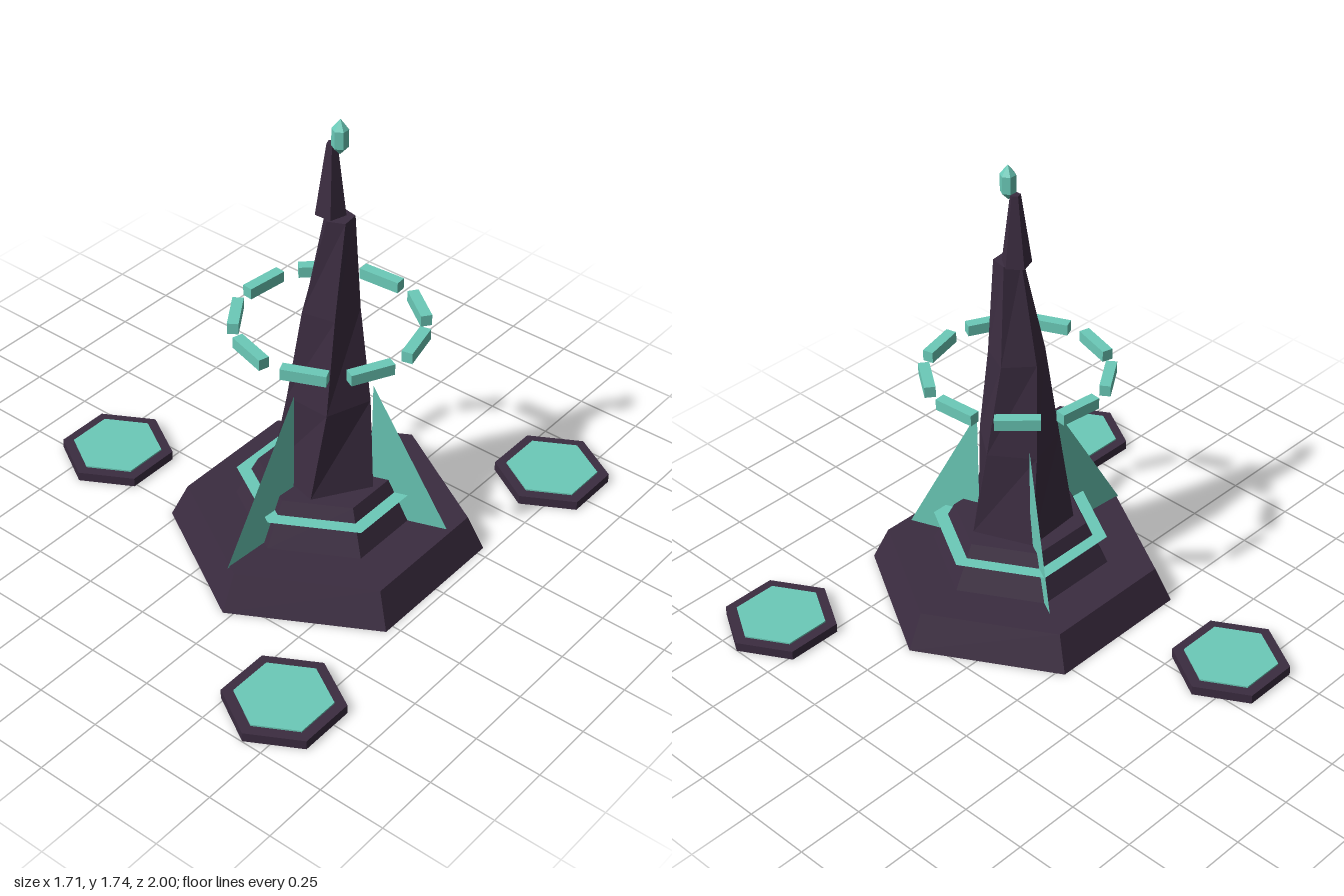
import * as THREE from 'three';

const stone = new THREE.MeshStandardMaterial({ color: 0x3b2c40 });
stone.name = 'darkStone';
const glow = new THREE.MeshStandardMaterial({ color: 0x6bcab8 });
glow.name = 'tealGlow';
const glowSheet = new THREE.MeshStandardMaterial({ color: 0x6bcab8, side: THREE.DoubleSide });
glowSheet.name = 'tealGlowSheet';

const CX = 0.218; // tower axis
const rad = THREE.MathUtils.degToRad;

function add(parent, name, geometry, material, x = 0, y = 0, z = 0) {
  const flat = geometry.index ? geometry.toNonIndexed() : geometry;
  flat.computeVertexNormals();
  const mesh = new THREE.Mesh(flat, material);
  mesh.name = name;
  mesh.position.set(x, y, z);
  parent.add(mesh);
  return mesh;
}

// Hexagonal frustum standing on y0, corners toward +z and -z
function hex(parent, name, material, rTop, rBottom, y0, y1, x, z = 0) {
  const g = new THREE.CylinderGeometry(rTop, rBottom, y1 - y0, 6);
  return add(parent, name, g, material, x, (y0 + y1) / 2, z);
}

// Closed loft through polygon rings [y, centreX, radius, rotation in degrees]
function loft(rings, sides) {
  const pos = [];
  const pt = ([y, cx, r, rot], j) => {
    const a = rad(rot) + (j / sides) * Math.PI * 2;
    return [cx + r * Math.cos(a), y, r * Math.sin(a)];
  };
  const last = rings[rings.length - 1];
  for (let j = 0; j < sides; j++) {
    for (let i = 0; i < rings.length - 1; i++) {
      const a = pt(rings[i], j), b = pt(rings[i], j + 1);
      const c = pt(rings[i + 1], j), d = pt(rings[i + 1], j + 1);
      pos.push(...a, ...c, ...b, ...b, ...c, ...d);
    }
    pos.push(rings[0][1], rings[0][0], 0, ...pt(rings[0], j), ...pt(rings[0], j + 1));
    pos.push(last[1], last[0], 0, ...pt(last, j + 1), ...pt(last, j));
  }
  const g = new THREE.BufferGeometry();
  g.setAttribute('position', new THREE.Float32BufferAttribute(pos, 3));
  return g;
}

export function createModel() {
  const model = new THREE.Group();
  model.name = 'crystalSpire';

  // Stepped hexagonal base with a glowing collar
  hex(model, 'lowerBase', stone, 0.512, 0.574, 0, 0.135, CX);
  hex(model, 'upperBase', stone, 0.25, 0.332, 0.135, 0.3, CX);
  const collar = new THREE.RingGeometry(0.272, 0.329, 6, 1, Math.PI / 6);
  collar.rotateX(-Math.PI / 2);
  add(model, 'baseCollar', collar, glowSheet, CX, 0.25, 0);

  // Twisting five-sided tower and its offset tip
  add(model, 'towerShaft', loft([
    [0.3, 0.218, 0.198, -4],
    [0.64, 0.224, 0.153, -17],
    [1.0, 0.219, 0.106, -30],
    [1.37, 0.253, 0.054, -43],
  ], 5), stone);
  add(model, 'towerTip', loft([
    [1.37, 0.217, 0.055, -20],
    [1.636, 0.218, 0.019, -20],
  ], 5), stone);

  // Crystal on the tip
  const crystal = new THREE.LatheGeometry([
    [0, 1.605], [0.029, 1.636], [0.029, 1.7], [0, 1.737],
  ].map(([x, y]) => new THREE.Vector2(x, y)), 6);
  add(model, 'tipCrystal', crystal, glow, 0.251, 0, 0);

  // Floating ring of blocks
  const ring = new THREE.Group();
  ring.name = 'floatingRing';
  ring.position.set(CX, 0.932, 0);
  model.add(ring);
  for (let i = 0; i < 9; i++) {
    const a = rad(-94 + i * 40);
    const block = add(ring, 'ringBlock', new THREE.BoxGeometry(0.16, 0.042, 0.04), glow,
      0.322 * Math.cos(a), 0, 0.322 * Math.sin(a));
    block.rotation.y = Math.PI / 2 - a;
  }

  // Triangular fins: inner x, z then outer x, z
  for (const [name, ix, iz, ox, oz] of [
    ['frontFin', 0.2, 0.165, 0.178, 0.5],
    ['rightFin', 0.077, -0.09, -0.125, -0.2],
    ['leftFin', 0.373, -0.055, 0.645, -0.155],
  ]) {
    const g = new THREE.BufferGeometry();
    g.setAttribute('position', new THREE.Float32BufferAttribute(
      [ix, 0.13, iz, ox, 0.13, oz, ix, 0.7, iz], 3));
    add(model, name, g, glowSheet);
  }

  // Outlying hexagonal pads with glowing tops
  for (const [x, z] of [[0.67, -0.788], [-0.675, 0.155], [0.67, 0.785]]) {
    const pad = new THREE.Group();
    pad.name = 'pad';
    pad.position.set(x, 0, z);
    model.add(pad);
    hex(pad, 'padSlab', stone, 0.213, 0.213, 0, 0.036, 0);
    hex(pad, 'padPlate', glow, 0.17, 0.17, 0.036, 0.042, 0);
  }

  return model;
}
